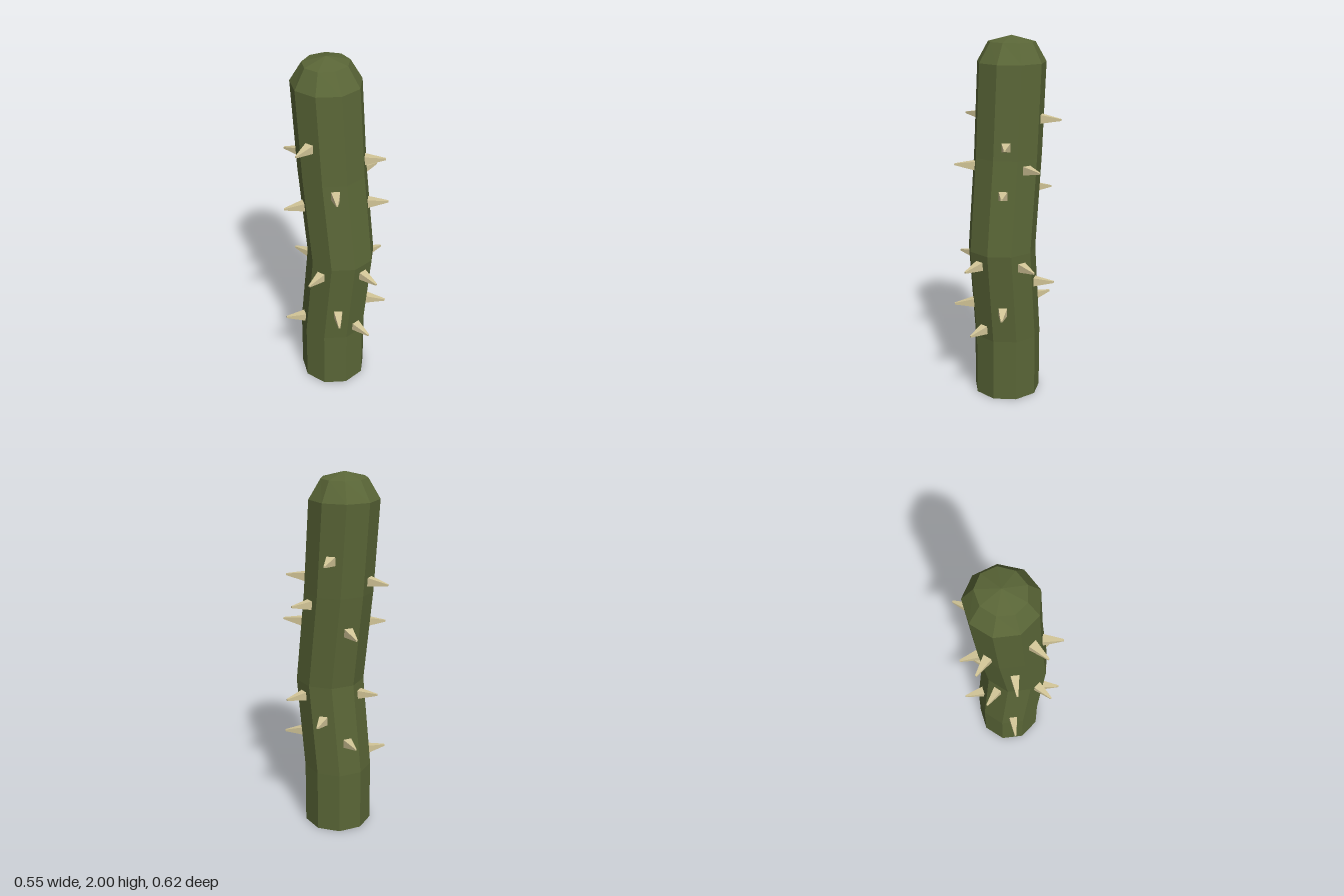
import * as THREE from 'three';

const CENTER_X = 0.008;
// height and depth offset of the stem's bent axis
const AXIS = [[0, -0.018], [0.35, -0.018], [0.86, 0.036], [1.37, -0.022], [1.86, -0.058], [2, -0.06]];

// depth offset and slope of the axis at height y
function axisAt(y) {
  let i = 0;
  while (i < AXIS.length - 2 && y > AXIS[i + 1][0]) i++;
  const [y0, z0] = AXIS[i], [y1, z1] = AXIS[i + 1];
  const slope = (z1 - z0) / (y1 - y0);
  return { z: z0 + slope * (y - y0), slope };
}

// nine-sided stem with a blunt domed cap, bent along the axis
function makeStem(material) {
  const profile = [[0, 0], [0.187, 0], [0.187, 0.35], [0.187, 0.86], [0.187, 1.37],
    [0.187, 1.862], [0.13, 1.967], [0, 2]].map(([r, y]) => new THREE.Vector2(r, y));
  const geometry = new THREE.LatheGeometry(profile, 9, Math.PI / 2);
  const pos = geometry.attributes.position;
  for (let i = 0; i < pos.count; i++) {
    const y = pos.getY(i);
    const squash = y > 1.9 ? 0.92 : 1;
    pos.setXYZ(i, pos.getX(i) + CENTER_X, y, pos.getZ(i) * squash + axisAt(y).z);
  }
  geometry.computeVertexNormals();
  const stem = new THREE.Mesh(geometry, material);
  stem.name = 'stem';
  return stem;
}

// heights of the thorns on each face, by face angle from +x towards +z
const THORNS = {
  20: [1.315, 0.79],
  60: [1.44, 1.185, 0.535],
  100: [0.795, 0.41],
  140: [1.315, 0.535],
  180: [1.57, 0.79],
  220: [1.18, 0.41],
  260: [1.44, 0.79],
  300: [1.18, 0.535],
  340: [1.57, 0.67],
};

export function createModel() {
  const model = new THREE.Group();
  model.name = 'thornyStem';
  const green = new THREE.MeshStandardMaterial({ color: 0x5a6637, flatShading: true });
  const tan = new THREE.MeshStandardMaterial({ color: 0xd2c597, flatShading: true });
  model.add(makeStem(green));

  // square tapered thorn with a blunt tip
  const inner = 0.16, outer = 0.284, length = outer - inner;
  const thornGeometry = new THREE.CylinderGeometry(0.0065, 0.037, length, 4);
  thornGeometry.rotateY(Math.PI / 4);
  thornGeometry.translate(0, length / 2, 0);

  const thorns = new THREE.Group();
  thorns.name = 'thorns';
  for (const [degrees, heights] of Object.entries(THORNS)) {
    const a = THREE.MathUtils.degToRad(Number(degrees));
    for (const y of heights) {
      const { z, slope } = axisAt(y);
      // point outward, square to the bent axis
      const out = new THREE.Vector3(Math.cos(a), -slope * Math.sin(a), Math.sin(a)).normalize();
      const side = new THREE.Vector3(-Math.sin(a), 0, Math.cos(a));
      side.addScaledVector(out, -side.dot(out)).normalize();
      const third = new THREE.Vector3().crossVectors(side, out);
      const thorn = new THREE.Mesh(thornGeometry, tan);
      thorn.name = 'thorn';
      thorn.quaternion.setFromRotationMatrix(new THREE.Matrix4().makeBasis(side, out, third));
      thorn.position.set(CENTER_X + inner * Math.cos(a), y, z + inner * Math.sin(a));
      thorns.add(thorn);
    }
  }
  model.add(thorns);
  return model;
}
